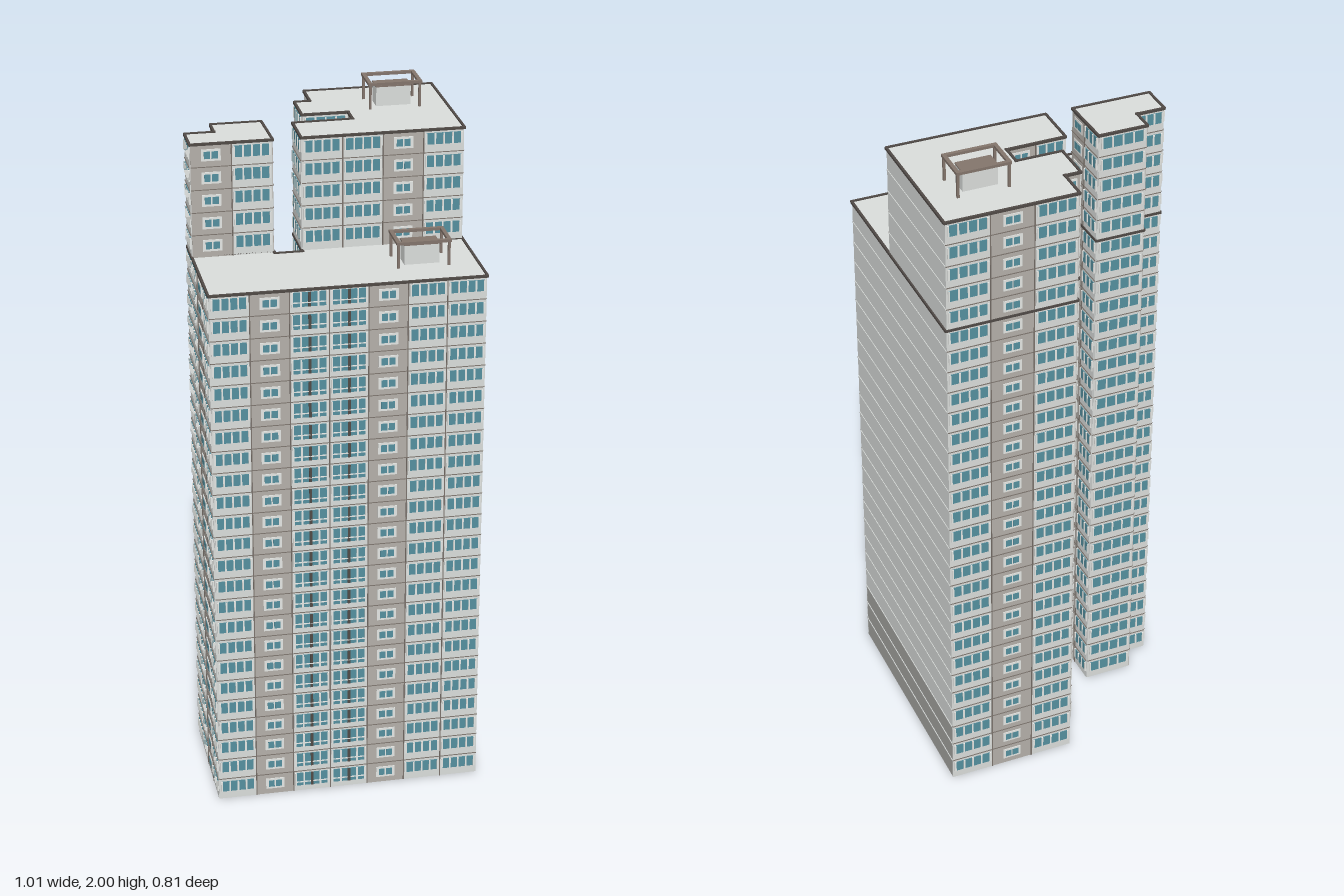
import * as THREE from 'three';
import { mergeGeometries } from 'three/addons/utils/BufferGeometryUtils.js';

const FLOOR = 0.0663, LOW = 24, HIGH = 29, PLINTH = 3;
const mat = (name, color) => new THREE.MeshStandardMaterial({ name, color });

export function createModel() {
  const M = {
    wall: mat('pale concrete', 0xdadddb),
    base: mat('plinth grey', 0xa6a6a3),
    panel: mat('warm grey panel', 0xb4b0aa),
    frame: mat('window frame white', 0xe6e8e5),
    glass: mat('teal glass', 0x55909f),
    seam: mat('seam grey brown', 0x7c746d),
    trim: mat('dark trim', 0x504a46),
    brown: mat('roof brown', 0x83756c),
  };
  const model = new THREE.Group();
  model.name = 'apartmentTower';
  const block = new THREE.Group();
  block.name = 'rotatedBlock';
  block.rotation.y = -0.4433;
  model.add(block);

  const add = (name, geo, material) => {
    const m = new THREE.Mesh(geo, material);
    m.name = name;
    block.add(m);
    return m;
  };

  // Plan outlines as [x, z], walked left to right as seen from outside
  const leftRear = [[-0.196, -0.02], [-0.2, -0.181], [-0.342, -0.181], [-0.342, -0.113], [-0.425, -0.113]];
  const rightRear = [[0.349, -0.433], [-0.028, -0.433], [-0.028, -0.336], [-0.074, -0.336], [-0.074, -0.22],
    [0.06, -0.22], [0.06, -0.152], [-0.113, -0.15]];
  const full = [[-0.425, 0.275], [0.349, 0.275], ...rightRear, [-0.113, -0.006], [-0.194, -0.006], ...leftRear];
  const leftTower = [[-0.425, -0.02], ...leftRear];
  const rightTower = [[-0.113, -0.02], [0.349, -0.02], ...rightRear];
  const lowRoof = [[-0.425, 0.275], [0.349, 0.275], [0.349, -0.02], [-0.113, -0.02], [-0.113, -0.006],
    [-0.194, -0.006], [-0.194, -0.02], [-0.425, -0.02]];

  const prism = (pts, y0, y1, hole) => {
    const shape = new THREE.Shape(pts.map(([x, z]) => new THREE.Vector2(x, -z)));
    if (hole) shape.holes.push(new THREE.Path(hole.map(([x, z]) => new THREE.Vector2(x, -z))));
    return new THREE.ExtrudeGeometry(shape, { depth: y1 - y0, bevelEnabled: false })
      .rotateX(-Math.PI / 2).translate(0, y0, 0);
  };
  add('groundSlab', prism(full, 0, 0.002), M.wall);
  add('plinth', prism(full, 0.002, PLINTH * FLOOR), M.base);
  add('mainBody', prism(full, PLINTH * FLOOR, LOW * FLOOR), M.wall);
  add('leftUpperTower', prism(leftTower, LOW * FLOOR, HIGH * FLOOR), M.wall);
  add('rightUpperTower', prism(rightTower, LOW * FLOOR, HIGH * FLOOR), M.wall);

  // Small boxes laid along a wall, collected by part and merged at the end
  const parts = {};
  const wallBoxer = ([x0, z0], [x1, z1]) => {
    const len = Math.hypot(x1 - x0, z1 - z0), dx = (x1 - x0) / len, dz = (z1 - z0) / len;
    const turn = Math.atan2(-dz, dx);
    // s: distance along the wall, y: centre height, out: projection from the wall
    const box = (part, material, s, y, w, h, out) => {
      const depth = out + 0.002;
      const g = new THREE.BoxGeometry(w, h, depth).translate(0, 0, out - depth / 2).rotateY(turn)
        .translate(x0 + dx * s, y, z0 + dz * s);
      (parts[part] ??= { material, list: [] }).list.push(g);
    };
    return { len, box };
  };

  // One window bay: W = glazed loggia, B = tall glazing with rail, P = panel with small window
  const bay = (box, type, s, w, f0, f1) => {
    const mid = (f0 + f1) / 2 * FLOOR, h = (f1 - f0) * FLOOR;
    if (type === 'P') box('panelBays', M.panel, s, mid, w, h, 0.002);
    else box('loggiaBays', M.wall, s, mid, w, h, 0.002);
    for (let f = f0; f < f1; f++) {
      const y = f * FLOOR;
      if (type === 'P') {
        const ww = Math.min(0.055, w * 0.6);
        box('windowFrames', M.frame, s, y + FLOOR * 0.52, ww, 0.034, 0.004);
        for (const k of [-1, 1]) {
          box('windowGlass', M.glass, s + k * ww * 0.2, y + FLOOR * 0.52, ww * 0.32, 0.021, 0.005);
        }
        continue;
      }
      const [lo, hi] = type === 'B' ? [0.26, 0.9] : [0.36, 0.86];
      const yc = y + FLOOR * (lo + hi) / 2, gh = FLOOR * (hi - lo), gw = w * 0.88;
      box('windowGlass', M.glass, s, yc, gw, gh, 0.004);
      const panes = w > 0.09 ? 4 : w > 0.06 ? 3 : 2;
      for (let i = 0; i <= panes; i++) {
        const dark = type === 'B' && i === 2;
        box(dark ? 'darkMullions' : 'mullions', dark ? M.trim : M.frame,
          s + (i / panes - 0.5) * gw, yc, dark ? 0.008 : 0.005, gh, 0.006);
      }
      if (type === 'B') box('balconyRails', M.frame, s, y + FLOOR * 0.45, gw, 0.003, 0.006);
    }
  };

  const windowWall = (a, b, f0, f1, pattern) => {
    const { len, box } = wallBoxer(a, b);
    const w = len / pattern.length;
    [...pattern].forEach((type, i) => bay(box, type, (i + 0.5) * w, w, f0, f1));
    for (let i = 1; i < pattern.length; i++) {
      box('baySeams', M.seam, i * w, (f0 + f1) / 2 * FLOOR, 0.003, (f1 - f0) * FLOOR, 0.004);
    }
    for (let f = f0 + 1; f < f1; f++) box('floorLines', M.seam, len / 2, f * FLOOR, len, 0.002, 0.004);
  };

  // Blank walls carry only fine ledges at each floor
  const blankWall = (a, b, f0, f1) => {
    const { len, box } = wallBoxer(a, b);
    for (let f = f0 + 1; f < f1; f++) box('floorLedges', M.wall, len / 2, f * FLOOR, len, 0.003, 0.002);
  };

  // Front and left faces
  windowWall(full[0], full[1], 0, LOW, 'WPBBPWW');
  windowWall([-0.425, -0.02], full[0], 0, LOW, 'WPW');
  windowWall([-0.425, -0.02], [-0.196, -0.02], LOW, HIGH, 'PW');
  windowWall([-0.113, -0.02], [0.349, -0.02], LOW, HIGH, 'WWPW');
  // Right end
  blankWall([0.349, 0.275], [0.349, -0.02], 0, LOW);
  blankWall([0.349, -0.02], [0.349, -0.433], 0, HIGH);
  // Stepped rear of the right tower
  const rightPatterns = ['WPW', null, 'P', 'W', 'W', 'P', 'PW'];
  rightPatterns.forEach((p, i) => {
    if (p) windowWall(rightRear[i], rightRear[i + 1], 0, HIGH, p);
    else blankWall(rightRear[i], rightRear[i + 1], 0, HIGH);
  });
  windowWall(rightRear[7], [-0.113, -0.02], 0, HIGH, 'W');
  windowWall([-0.113, -0.006], [-0.194, -0.006], 0, LOW, 'P');
  // Stepped rear of the left tower
  ['PW', 'W', 'P', 'W'].forEach((p, i) => windowWall(leftRear[i], leftRear[i + 1], 0, HIGH, p));
  windowWall(leftRear[4], [-0.425, -0.02], 0, HIGH, 'W');

  // Dark edging around roofs, and a band around the towers at the lower roof level
  const edging = (pts, y) => pts.forEach((p, i) => {
    const { len, box } = wallBoxer(p, pts[(i + 1) % pts.length]);
    box('roofEdging', M.trim, len / 2, y, len + 0.006, 0.007, 0.005);
  });
  edging(full, LOW * FLOOR);
  edging(lowRoof, LOW * FLOOR);
  edging(leftTower, HIGH * FLOOR);
  edging(rightTower, HIGH * FLOOR);

  for (const [name, { material, list }] of Object.entries(parts)) add(name, mergeGeometries(list), material);

  // Rooftop plant rooms under open frames
  const rect = (w, d) => [[-w / 2, -d / 2], [-w / 2, d / 2], [w / 2, d / 2], [w / 2, -d / 2]];
  const plantRoom = (x, y, z) => {
    const put = (name, geo, material) => add(name, geo, material).position.set(x, y, z);
    put('plantRoom', new THREE.BoxGeometry(0.1, 0.056, 0.052).translate(0, 0.028, 0), M.wall);
    put('plantRoomRoof', new THREE.BoxGeometry(0.102, 0.004, 0.054).translate(0, 0.058, 0), M.brown);
    put('roofFrame', prism(rect(0.156, 0.108), 0.069, 0.077, rect(0.134, 0.086)), M.brown);
    const legs = [];
    for (const i of [-1, 1]) for (const k of [-1, 1]) {
      legs.push(new THREE.BoxGeometry(0.007, 0.07, 0.007).translate(i * 0.072, 0.035, k * 0.048));
    }
    put('roofFrameLegs', mergeGeometries(legs), M.brown);
  };
  plantRoom(0.198, HIGH * FLOOR, -0.282);
  plantRoom(0.194, LOW * FLOOR, 0.123);

  return model;
}
